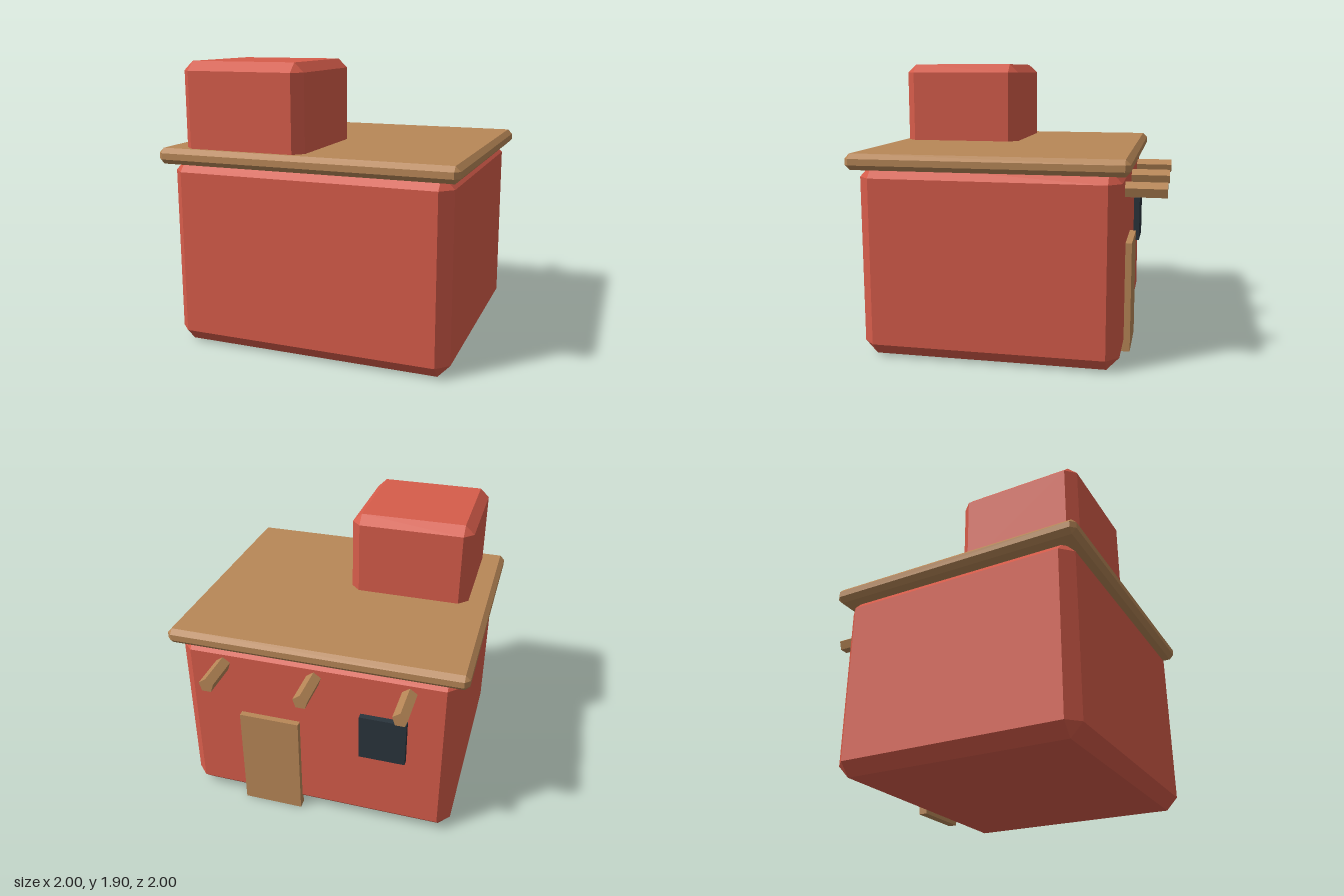
import * as THREE from 'three';
import { ConvexGeometry } from 'three/addons/geometries/ConvexGeometry.js';

const material = (name, color) => {
  const m = new THREE.MeshStandardMaterial({ color });
  m.name = name;
  return m;
};

// Box between two corners with every edge chamfered: c is the inset in x/z, cy in y
function chamferBox([x0, y0, z0], [x1, y1, z1], c, cy) {
  const h = [(x1 - x0) / 2, (y1 - y0) / 2, (z1 - z0) / 2];
  const inset = [c, cy, c];
  const points = [];
  for (const sx of [-1, 1]) for (const sy of [-1, 1]) for (const sz of [-1, 1])
    for (let axis = 0; axis < 3; axis++) {
      const p = [sx, sy, sz].map((s, i) => s * (h[i] - (i === axis ? 0 : inset[i])));
      points.push(new THREE.Vector3(...p));
    }
  return new ConvexGeometry(points).translate((x0 + x1) / 2, (y0 + y1) / 2, (z0 + z1) / 2);
}

// Plain box between two corners
function box([x0, y0, z0], [x1, y1, z1]) {
  return new THREE.BoxGeometry(x1 - x0, y1 - y0, z1 - z0)
    .translate((x0 + x1) / 2, (y0 + y1) / 2, (z0 + z1) / 2);
}

export function createModel() {
  const model = new THREE.Group();
  model.name = 'house';
  const clay = material('red clay', 0xd65c4a);
  const wood = material('wood', 0xb88757);
  const dark = material('dark window', 0x2a343c);
  for (const m of [clay, wood, dark]) m.flatShading = true;

  const add = (name, geometry, mat) => {
    const mesh = new THREE.Mesh(geometry, mat);
    mesh.name = name;
    model.add(mesh);
    return mesh;
  };

  // Walls, overhanging roof slab and the small block on top
  add('walls', chamferBox([-0.945, 0, -0.735], [0.945, 1.265, 0.945], 0.08, 0.085), clay);
  add('roofSlab', chamferBox([-1, 1.235, -0.79], [1, 1.34, 1], 0.032, 0.032), wood);
  add('roofBlock', chamferBox([-0.84, 1.26, 0.105], [0, 1.897, 0.945], 0.063, 0.06), clay);

  // Door and window on the back wall
  add('door', box([0.108, 0, -0.777], [0.525, 0.74, -0.715]), wood);
  add('window', box([-0.63, 0.575, -0.777], [-0.315, 0.9, -0.715]), dark);

  // Five-sided beams sticking out under the roof, ridge upwards
  for (const x of [-0.632, 0, 0.632]) {
    const beam = new THREE.CylinderGeometry(0.052, 0.052, 0.3, 5);
    beam.rotateX(-Math.PI / 2);
    add('beam', beam, wood).position.set(x, 1.11, -0.85);
  }
  return model;
}
